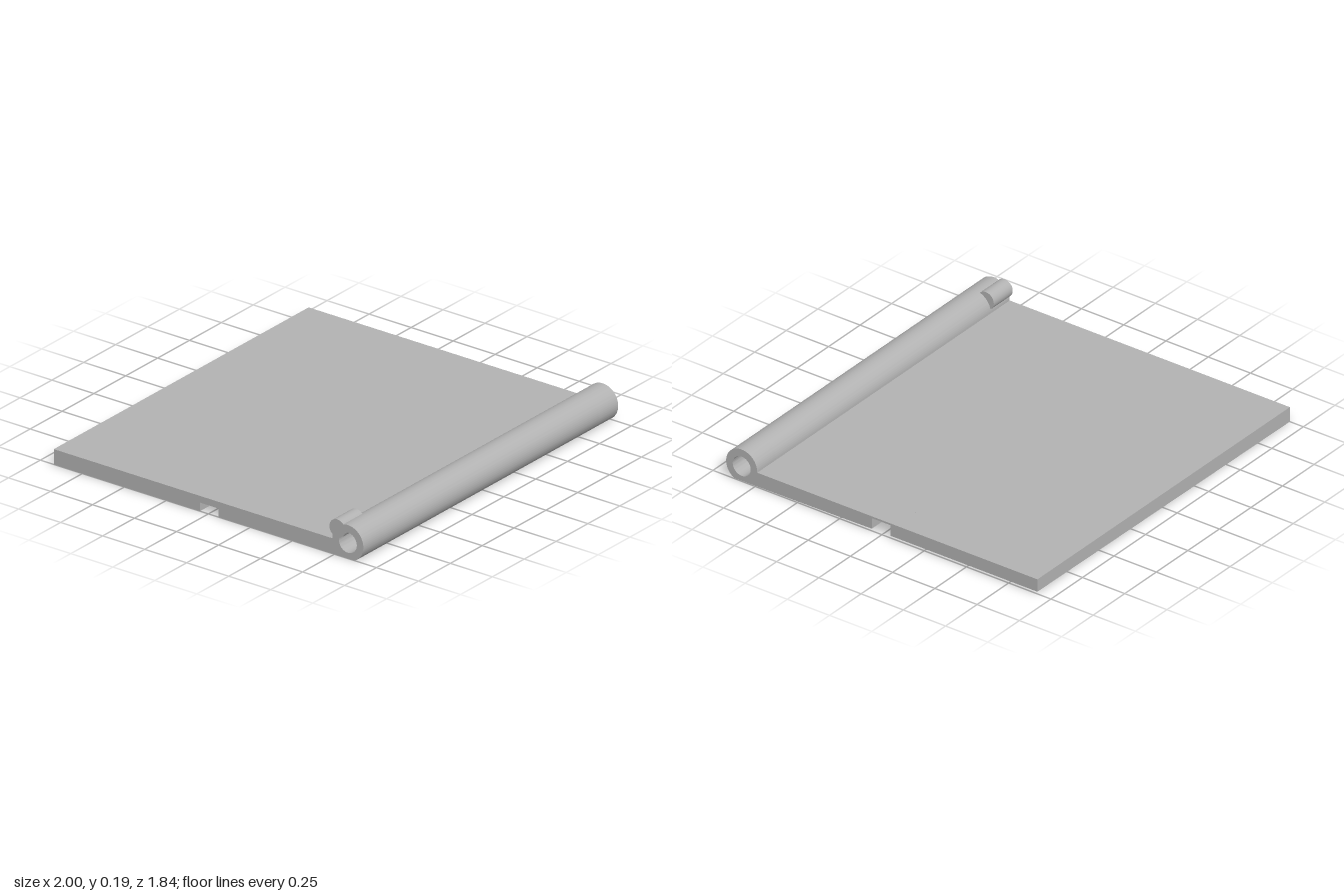
import * as THREE from 'three';
import { toCreasedNormals } from 'three/addons/utils/BufferGeometryUtils.js';

const BARREL = { z: 0.83, y: 0.083, r: 0.092, bore: 0.053 };
const BORE_DEPTH = 0.15;
const GROOVE_Y = 0.045;

// Cross-section of plate, groove and barrel; u runs towards the back (u = -z)
function section(withBore) {
  const { z, y, r, bore } = BARREL;
  const s = new THREE.Shape();
  s.moveTo(0.92, 0);
  s.lineTo(0.92, 0.08);
  s.absarc(-z, y, r, Math.asin((0.08 - y) / r), Math.PI + Math.asin(y / r), false);
  s.lineTo(-0.06, 0);
  s.lineTo(-0.06, GROOVE_Y);
  s.lineTo(0.05, GROOVE_Y);
  s.lineTo(0.05, 0);
  s.closePath();
  if (withBore) {
    const hole = new THREE.Path();
    hole.absarc(-z, y, bore, 0, Math.PI * 2, true);
    s.holes.push(hole);
  }
  return s;
}

function slab(x0, x1, withBore) {
  const geo = new THREE.ExtrudeGeometry(section(withBore), {
    depth: x1 - x0, bevelEnabled: false, curveSegments: 40,
  });
  geo.rotateY(Math.PI / 2).translate(x0, 0, 0);
  // Underside and groove ceiling rise gently towards +x
  const p = geo.attributes.position;
  for (let i = 0; i < p.count; i++) {
    const t = (p.getX(i) + 1) / 2, y = p.getY(i), z = p.getZ(i);
    if (y < 0.001) p.setY(i, y + 0.012 * t);
    else if (Math.abs(y - GROOVE_Y) < 1e-4 && z < 0.1) p.setY(i, y + 0.025 * t);
  }
  return toCreasedNormals(geo, 0.5);
}

export function createModel() {
  const grey = new THREE.MeshStandardMaterial({ color: 0xb2b2b2 });
  grey.name = 'grey';
  const model = new THREE.Group();
  model.name = 'hingedPlate';
  const add = (name, geo) => {
    const mesh = new THREE.Mesh(geo, grey);
    mesh.name = name;
    model.add(mesh);
    return mesh;
  };

  // Solid middle with a bored section at each end
  const inner = 1 - BORE_DEPTH;
  add('plateMiddle', slab(-inner, inner, false));
  add('plateLeftEnd', slab(inner, 1, true));
  add('plateRightEnd', slab(-1, -inner, true));

  // Short pin beside the barrel
  const pin = add('pin', new THREE.CylinderGeometry(0.047, 0.047, 0.15, 40).rotateZ(Math.PI / 2));
  pin.position.set(-0.925, 0.14, 0.767);

  return model;
}
